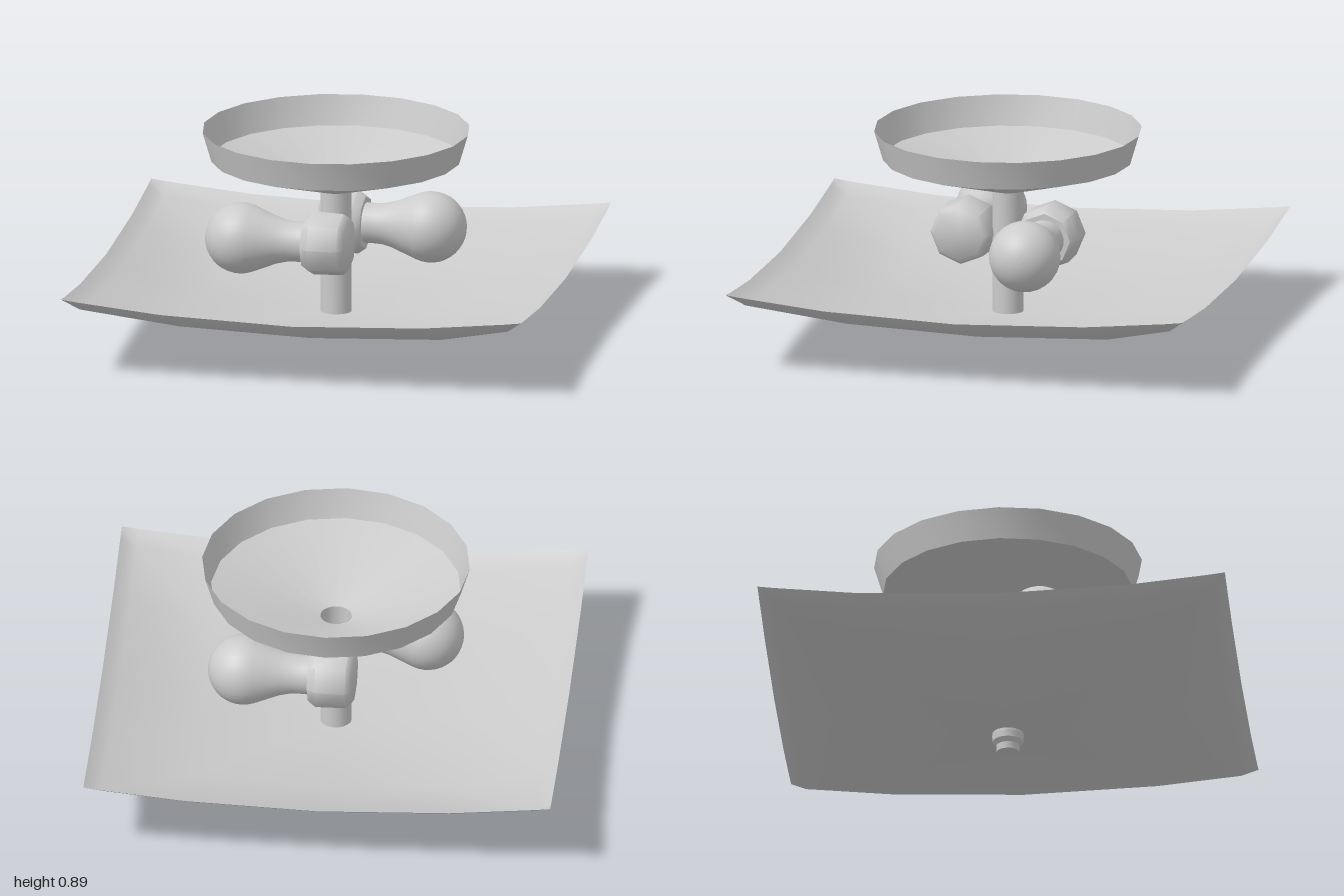
import * as THREE from 'three';
import { toCreasedNormals } from 'three/addons/utils/BufferGeometryUtils.js';

const material = new THREE.MeshStandardMaterial({ color: 0xcccccc });
const thinMaterial = new THREE.MeshStandardMaterial({ color: 0xcccccc, side: THREE.DoubleSide });

function makeMesh(name, geometry, mat = material) {
  const mesh = new THREE.Mesh(geometry, mat);
  mesh.name = name;
  return mesh;
}

// Profile points are [radius, height], listed from the bottom up.
function lathe(profile, sides, crease = 0.6) {
  const points = profile.map(([r, y]) => new THREE.Vector2(r, y));
  return toCreasedNormals(new THREE.LatheGeometry(points, sides), crease);
}

// Square glass sheet, bowed both ways, with an upturned lip.
function createShade() {
  const stations = [-1, -0.93, -0.57, 0, 0.57, 0.93, 1];
  const n = stations.length;
  const positions = [];
  const indices = [];
  for (const z of stations) {
    for (const x of stations) {
      const m = Math.max(Math.abs(x), Math.abs(z));
      const bow = 0.067 * (x * x + z * z);
      const lip = 0.133 * Math.pow(m, 5);
      positions.push(x, 0.082 + bow + lip + (m === 0.57 ? 0.005 : 0), z);
    }
  }
  for (let j = 0; j < n - 1; j++) {
    for (let i = 0; i < n - 1; i++) {
      const a = j * n + i, b = a + 1, c = a + n, d = c + 1;
      // Run each quad's diagonal toward the corners of the sheet.
      if ((stations[i] < 0) === (stations[j] < 0)) indices.push(a, c, d, a, d, b);
      else indices.push(a, c, b, b, c, d);
    }
  }
  const geometry = new THREE.BufferGeometry();
  geometry.setAttribute('position', new THREE.Float32BufferAttribute(positions, 3));
  geometry.setIndex(indices);
  geometry.computeVertexNormals();
  return makeMesh('glassShade', geometry, thinMaterial);
}

// Bulb and socket lying along -x, with the socket centred on the origin.
function createLamp() {
  const lamp = new THREE.Group();
  const profile = [[0.088, 0.07], [0.086, 0.12], [0.088, 0.17], [0.1, 0.22], [0.122, 0.275]];
  for (let i = 0; i <= 12; i++) {
    const a = THREE.MathUtils.lerp(-0.35, Math.PI / 2, i / 12);
    profile.push([Math.max(0, 0.153 * Math.cos(a)), 0.382 + 0.153 * Math.sin(a)]);
  }
  const bulb = makeMesh('bulb', lathe(profile, 28, 1).rotateZ(Math.PI / 2));
  const socketProfile = [[0, -0.095], [0.11, -0.095], [0.135, -0.07], [0.14, 0.06], [0.115, 0.095], [0.08, 0.095]];
  const socket = makeMesh('socket', lathe(socketProfile, 8, 0.85).rotateZ(Math.PI / 2));
  lamp.add(bulb, socket);
  return lamp;
}

export function createModel() {
  const model = new THREE.Group();
  model.name = 'ceilingLight';
  model.add(createShade());

  // Open ceiling pan: shallow cone with a flared rim
  model.add(makeMesh('ceilingPan',
    lathe([[0.068, 0.62], [0.535, 0.76], [0.573, 0.888]], 20), thinMaterial));

  // Hollow stem between pan and shade
  model.add(makeMesh('stem', lathe([[0.067, 0.07], [0.067, 0.62]], 20), thinMaterial));

  // Stepped finial under the shade
  model.add(makeMesh('finial', lathe(
    [[0, 0], [0.048, 0], [0.05, 0.03], [0.066, 0.048], [0.068, 0.078], [0.06, 0.09], [0, 0.09]], 20)));

  // Two lamps on opposite sides of the stem
  for (const side of [0, 1]) {
    const lamp = createLamp();
    lamp.rotation.y = -0.06;
    lamp.position.set(0, 0.432, 0.187);
    const arm = new THREE.Group();
    arm.name = side ? 'backLamp' : 'frontLamp';
    arm.rotation.y = side * Math.PI;
    arm.add(lamp);
    model.add(arm);
  }
  return model;
}
